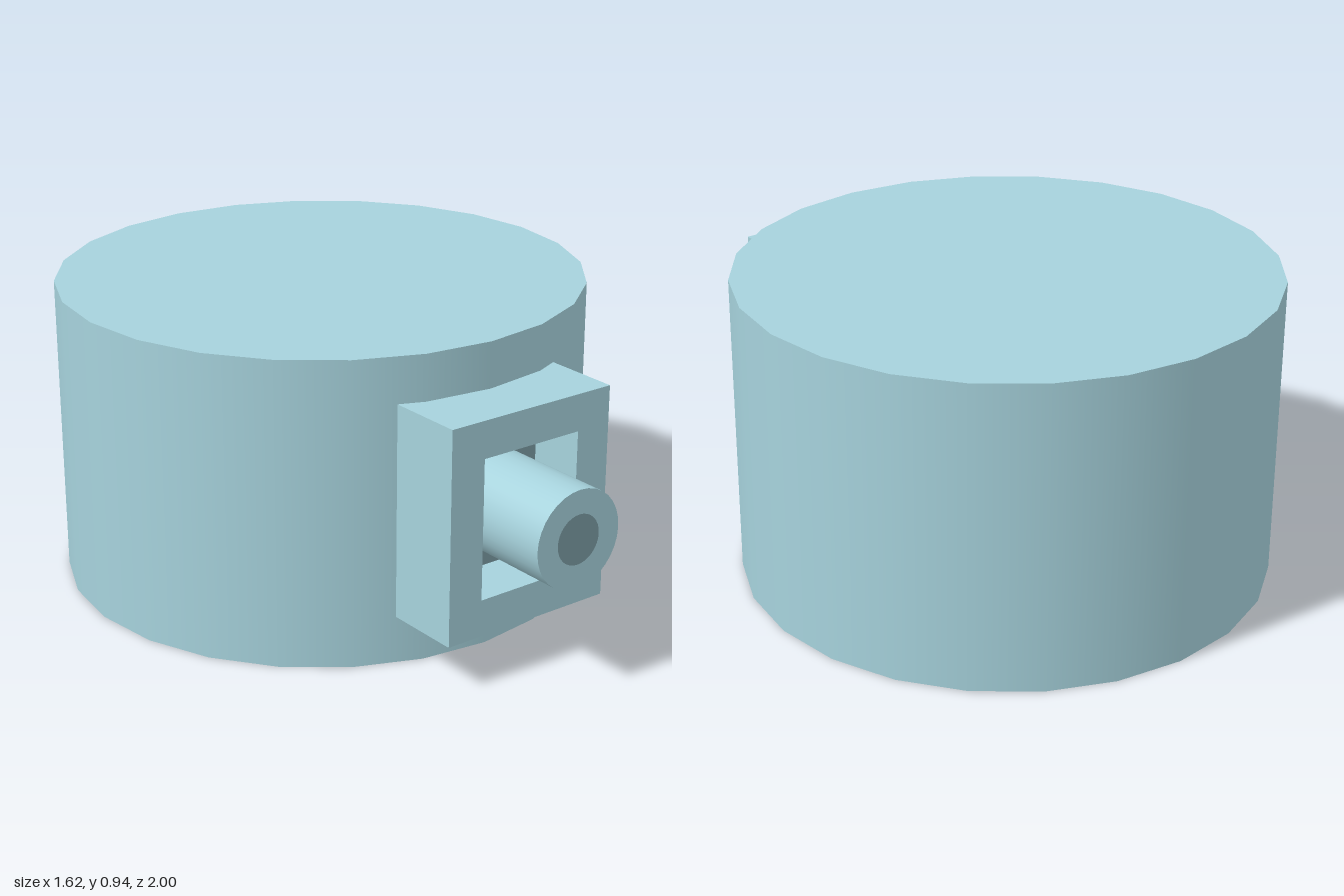
import * as THREE from 'three';

export function createModel() {
  const model = new THREE.Group();
  const body = new THREE.MeshStandardMaterial({ color: 0xa6d2dc });
  const dark = new THREE.MeshStandardMaterial({ color: 0x7b9ba3 });
  const midY = 0.47;

  const add = (name, geometry, material, y, z) => {
    const mesh = new THREE.Mesh(geometry, material);
    mesh.name = name;
    mesh.position.set(0, y, z);
    model.add(mesh);
    return mesh;
  };

  const rect = (target, w, h) => {
    target.moveTo(-w, -h);
    target.lineTo(w, -h);
    target.lineTo(w, h);
    target.lineTo(-w, h);
    target.closePath();
    return target;
  };

  // Round drum, set back so the nozzle reaches the front
  const height = 0.935;
  add('drum', new THREE.CylinderGeometry(0.81, 0.81, height, 24), body, height / 2, -0.19);

  // Rectangular frame let into the drum wall
  const outline = rect(new THREE.Shape(), 0.285, 0.325);
  outline.holes.push(rect(new THREE.Path(), 0.17, 0.213));
  add('frame', new THREE.ExtrudeGeometry(outline, { depth: 0.25, bevelEnabled: false }), body, midY, 0.55);

  // Dark panel at the back of the frame opening
  add('recessPanel', new THREE.PlaneGeometry(0.34, 0.426), dark, midY, 0.625);

  // Nozzle: open cylinder, front rim and dark bore
  const start = 0.6, radius = 0.148, bore = 0.075;
  const pipe = new THREE.CylinderGeometry(radius, radius, 1 - start, 32, 1, true);
  pipe.rotateX(Math.PI / 2);
  add('nozzle', pipe, body, midY, (1 + start) / 2);
  add('nozzleRim', new THREE.RingGeometry(bore, radius, 32), body, midY, 1);
  add('nozzleBore', new THREE.CircleGeometry(bore, 32), dark, midY, 1);

  return model;
}
